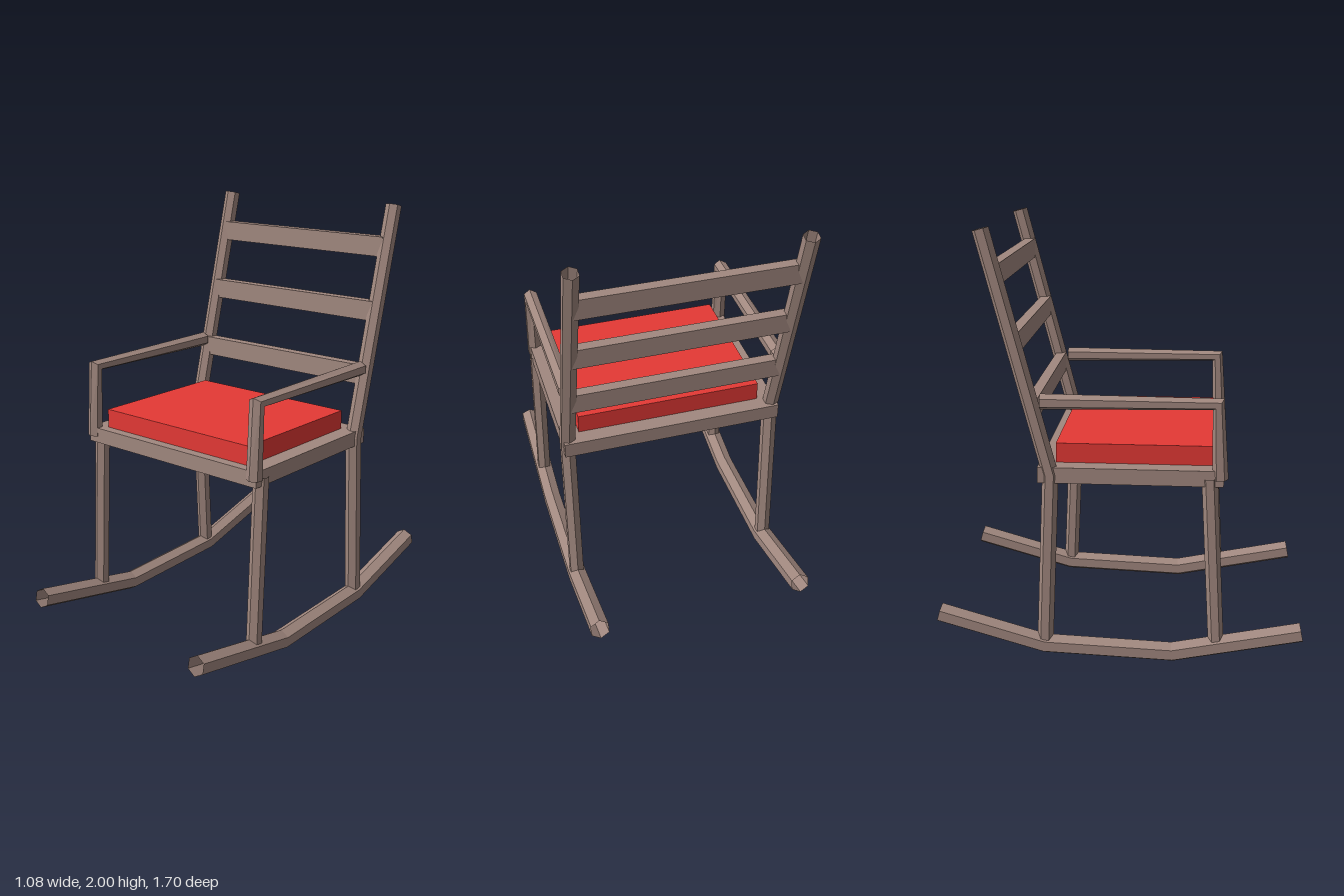
import * as THREE from 'three';

const wood = new THREE.MeshStandardMaterial({ color: 0xa1887f, flatShading: true, side: THREE.DoubleSide });
const fabric = new THREE.MeshStandardMaterial({ color: 0xe53935, flatShading: true });

// Hexagonal open-ended bar along a path of [y, z] points, rings turned to the bisector at bends
function hexBar(name, path, radius) {
  const pts = path.map(([y, z]) => new THREE.Vector2(y, z));
  const dirs = pts.slice(1).map((p, k) => p.clone().sub(pts[k]).normalize());
  const positions = [], index = [];
  pts.forEach((p, k) => {
    const t = (dirs[k - 1] ?? dirs[k]).clone().add(dirs[k] ?? dirs[k - 1]).normalize();
    for (let i = 0; i < 6; i++) {
      const a = (i * Math.PI) / 3;
      const n = radius * Math.cos(a);
      positions.push(radius * Math.sin(a), p.x - t.y * n, p.y + t.x * n);
      if (k === pts.length - 1) continue;
      const j = (i + 1) % 6, lo = k * 6, hi = lo + 6;
      index.push(lo + i, lo + j, hi + j, lo + i, hi + j, hi + i);
    }
  });
  const indexed = new THREE.BufferGeometry();
  indexed.setAttribute('position', new THREE.Float32BufferAttribute(positions, 3));
  indexed.setIndex(index);
  const geometry = indexed.toNonIndexed();
  geometry.computeVertexNormals();
  const mesh = new THREE.Mesh(geometry, wood);
  mesh.name = name;
  return mesh;
}

// Box given by its width and its y and z ranges
function box(name, width, [y0, y1], [z0, z1], material) {
  const mesh = new THREE.Mesh(new THREE.BoxGeometry(width, y1 - y0, z1 - z0), material);
  mesh.position.set(0, (y0 + y1) / 2, (z0 + z1) / 2);
  mesh.name = name;
  return mesh;
}

export function createModel() {
  const chair = new THREE.Group();
  chair.name = 'rockingChair';

  // Side frames: rocker, legs, back post and armrest
  for (const [side, x] of [['left', 0.497], ['right', -0.497]]) {
    const frame = new THREE.Group();
    frame.name = side + 'Frame';
    frame.position.x = x;
    frame.add(
      hexBar('rocker', [[0.17, 0.842], [0.05, 0.25], [0.072, -0.345], [0.212, -0.837]], 0.048),
      hexBar('frontLeg', [[0.08, 0.453], [0.905, 0.408]], 0.036),
      hexBar('backPost', [[0.08, -0.342], [0.905, -0.304], [1.99, -0.582]], 0.0375),
      hexBar('armrest', [[0.9, 0.455], [1.243, 0.44], [1.24, -0.343]], 0.036),
    );
    chair.add(frame);
  }

  // Seat and cushion
  chair.add(box('seat', 1.04, [0.87, 0.943], [-0.36, 0.47], wood));
  chair.add(box('cushion', 0.875, [0.94, 1.033], [-0.285, 0.423], fabric));

  // Back slats step backwards with the lean of the posts
  for (let i = 0; i < 3; i++) {
    const y = 1.205 + i * 0.2965, z = -0.38 - i * 0.0755;
    chair.add(box('backSlat', 0.98, [y - 0.047, y + 0.047], [z - 0.025, z + 0.025], wood));
  }
  return chair;
}
